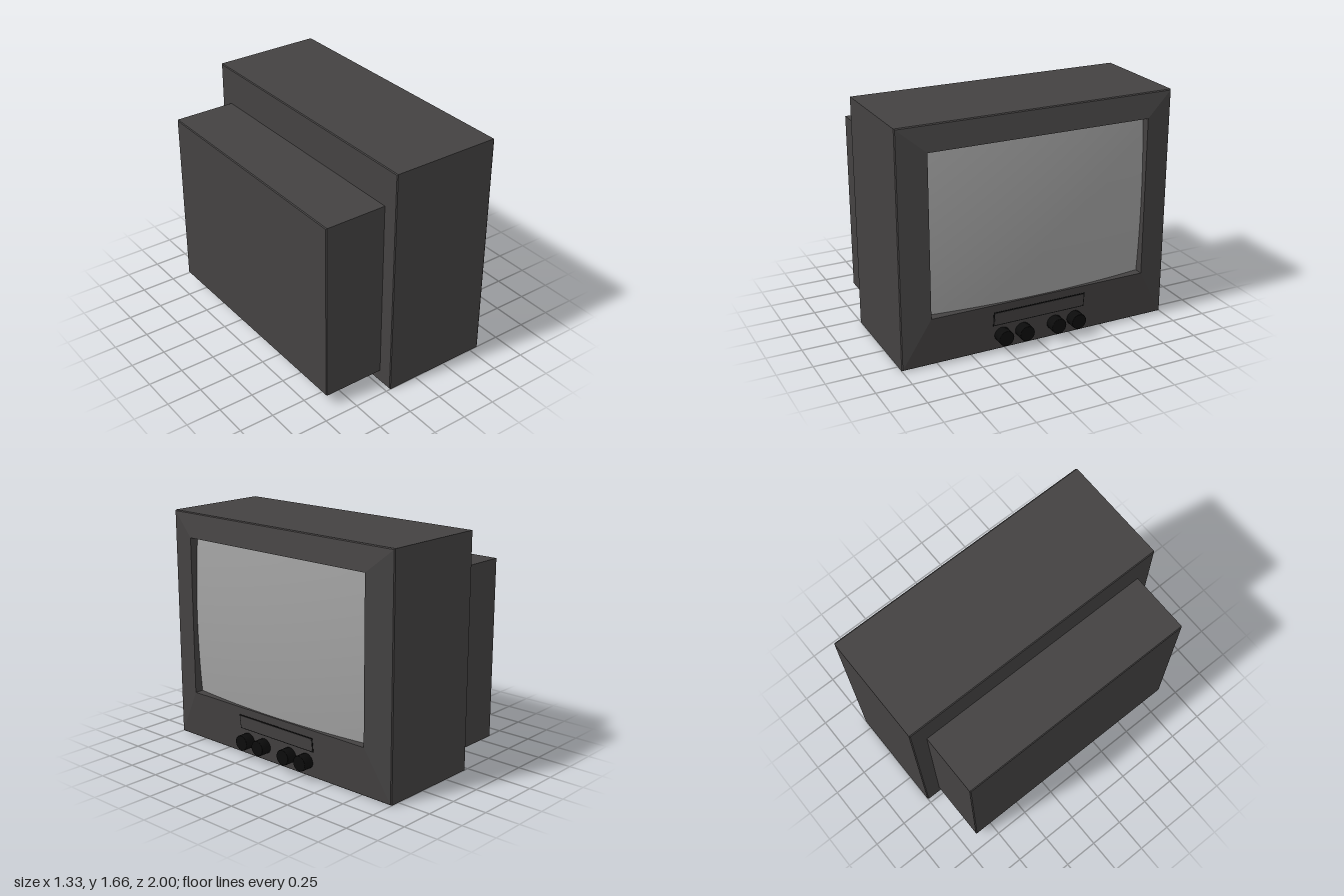
import * as THREE from 'three';

const casing = new THREE.MeshStandardMaterial({ color: 0x444242 });
const black = new THREE.MeshStandardMaterial({ color: 0x0c0c0c });
const glass = new THREE.MeshStandardMaterial({ color: 0xa2a2a2 });

// Skins rectangular rings [x, yMin, yMax, halfWidth], listed from back to front
function ringShell(rings) {
  const positions = [];
  const corner = ([x, y0, y1, w], i) => [
    [x, y0, w], [x, y1, w], [x, y1, -w], [x, y0, -w],
  ][i % 4];
  for (let r = 0; r < rings.length - 1; r++) {
    for (let i = 0; i < 4; i++) {
      const a = corner(rings[r], i), b = corner(rings[r + 1], i);
      const c = corner(rings[r + 1], i + 1), d = corner(rings[r], i + 1);
      positions.push(...a, ...b, ...c, ...a, ...c, ...d);
    }
  }
  const geo = new THREE.BufferGeometry();
  geo.setAttribute('position', new THREE.Float32BufferAttribute(positions, 3));
  geo.computeVertexNormals();
  return geo;
}

export function createModel() {
  const model = new THREE.Group();
  const add = (name, geo, mat, parent = model) => {
    const mesh = new THREE.Mesh(geo, mat);
    mesh.name = name;
    parent.add(mesh);
    return mesh;
  };
  const e = 0.006; // small edge bevel

  // Front cabinet with sloping bezel and the recess around the screen
  add('cabinet', ringShell([
    [-0.22, 0.83, 0.83, 0],
    [-0.22, e, 1.66 - e, 1 - e],
    [-0.22 + e, 0, 1.66, 1],
    [0.57 - e, 0, 1.66, 1],
    [0.572, e, 1.66 - e, 1 - e],
    [0.61, 0.355, 1.49, 0.8],
    [0.5, 0.355, 1.49, 0.8],
  ]), casing);

  // Smaller housing behind the cabinet
  add('rearHousing', ringShell([
    [-0.668, 0.74, 0.74, 0],
    [-0.668, 0.092 + e, 1.388 - e, 0.89 - e],
    [-0.668 + e, 0.092, 1.388, 0.89],
    [-0.215, 0.092, 1.388, 0.89],
  ]), casing);

  // Bulging picture tube, deepest at the corners
  const screen = new THREE.PlaneGeometry(1.6, 1.135, 24, 18);
  const p = screen.attributes.position;
  for (let i = 0; i < p.count; i++) {
    p.setZ(i, -0.08 * (p.getX(i) ** 2 + p.getY(i) ** 2));
  }
  screen.computeVertexNormals();
  screen.rotateY(Math.PI / 2);
  add('screen', screen, glass).position.set(0.622, 0.9225, 0);

  // Control door lying on the sloping lower bezel, with a dark gap round it
  const door = new THREE.Group();
  door.name = 'controlDoor';
  door.position.set(0.572 + 0.038 * 0.239 / 0.349, 0.245, 0);
  door.rotation.z = -Math.atan2(0.038, 0.349);
  model.add(door);
  add('doorGap', new THREE.BoxGeometry(0.004, 0.106, 0.696), black, door);
  add('doorPanel', new THREE.BoxGeometry(0.008, 0.09, 0.68), casing, door);

  // Four round knobs under the door
  const knobs = new THREE.Group();
  knobs.name = 'knobs';
  model.add(knobs);
  const profile = [[0, -0.05], [0.055, -0.05], [0.055, 0.044], [0.051, 0.048], [0, 0.048]];
  const knobGeo = new THREE.LatheGeometry(profile.map(([r, y]) => new THREE.Vector2(r, y)), 32);
  knobGeo.rotateZ(-Math.PI / 2);
  for (const z of [0.278, 0.122, -0.122, -0.278]) {
    add('knob', knobGeo, black, knobs).position.set(0.615, 0.115, z);
  }
  return model;
}
